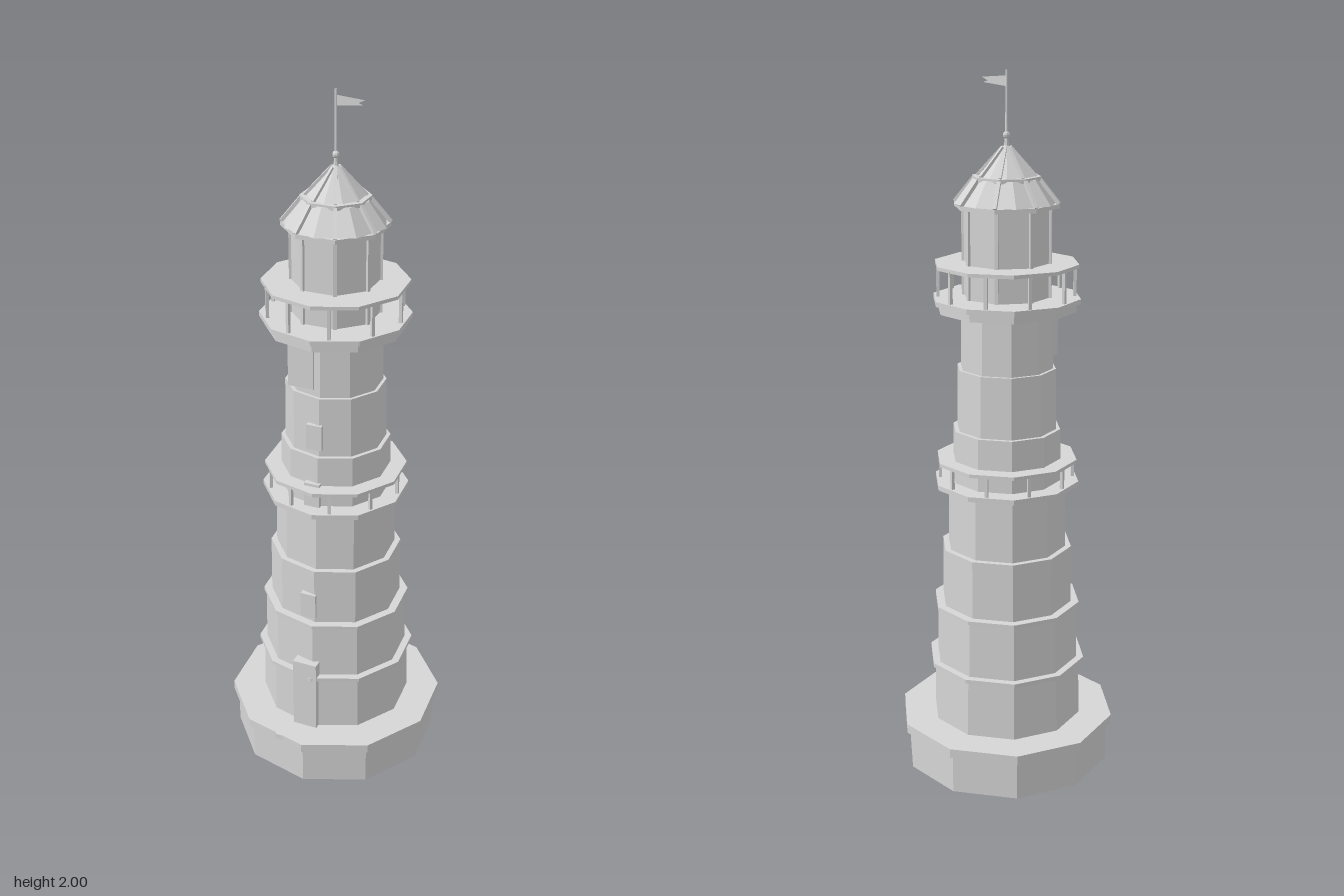
import * as THREE from 'three';

const DEG = Math.PI / 180;

export function createModel() {
  const model = new THREE.Group();
  const stone = new THREE.MeshStandardMaterial({ color: 0xd6d6d6, flatShading: true, side: THREE.DoubleSide });
  stone.name = 'pale stone';

  function add(name, geometry, parent = model) {
    const mesh = new THREE.Mesh(geometry, stone);
    mesh.name = name;
    parent.add(mesh);
    return mesh;
  }

  // Upright prism or frustum between two heights
  function prism(name, y0, y1, rBottom, rTop = rBottom, sides = 10, turn = 4.5, parent = model, open = false) {
    const g = new THREE.CylinderGeometry(rTop, rBottom, y1 - y0, sides, 1, open, turn * DEG);
    return add(name, g.translate(0, (y0 + y1) / 2, 0), parent);
  }

  // Box given by its limits
  function block(name, x0, x1, y0, y1, z0, z1) {
    const g = new THREE.BoxGeometry(x1 - x0, y1 - y0, z1 - z0);
    return add(name, g.translate((x0 + x1) / 2, (y0 + y1) / 2, (z0 + z1) / 2));
  }

  // Square bar between two points (radius, height), turned about the axis
  function rib(name, r0, y0, r1, y1, width, angle) {
    const g = new THREE.BoxGeometry(width, width, Math.hypot(r1 - r0, y1 - y0));
    g.rotateX(-Math.atan2(y1 - y0, r1 - r0));
    g.translate(0, (y0 + y1) / 2, (r0 + r1) / 2);
    g.rotateY(angle * DEG);
    return add(name, g);
  }

  // Foundation wall, open underneath, and its slab
  prism('foundation', 0, 0.115, 0.302, 0.302, 10, 4.5, model, true);
  prism('foundationSlab', 0.115, 0.142, 0.317);
  block('slabStep', -0.065, -0.04, 0.125, 0.142, 0.28, 0.3);

  // Stepped tower: bottom, top, lower radius, upper radius
  const tiers = [
    [0.142, 0.312, 0.22, 0.216],
    [0.322, 0.487, 0.21, 0.207],
    [0.495, 0.667, 0.191, 0.19],
    [0.667, 0.855, 0.173, 0.171],
    [0.855, 1.017, 0.157, 0.155],
    [1.017, 1.192, 0.143, 0.141],
    [1.192, 1.36, 0.132, 0.13],
  ];
  tiers.forEach(([y0, y1, r0, r1], i) => prism('towerTier' + (i + 1), y0, y1, r0, r1));
  prism('lowerBand', 0.31, 0.322, 0.231);
  prism('upperBand', 0.485, 0.496, 0.215);

  // Galleries: floor, ten posts and a covering rail plate
  function gallery(name, floorY, railY) {
    const group = new THREE.Group();
    group.name = name;
    model.add(group);
    prism('galleryFloor', floorY - 0.014, floorY, 0.209, 0.209, 10, 4.5, group);
    prism('galleryRail', railY - 0.01, railY, 0.203, 0.203, 10, 4.5, group);
    for (let i = 0; i < 10; i++) {
      const a = (18 + 36 * i) * DEG;
      const g = new THREE.BoxGeometry(0.009, railY - floorY, 0.009);
      g.rotateY(a).translate(0.189 * Math.sin(a), (floorY + railY) / 2, 0.189 * Math.cos(a));
      add('galleryPost', g, group);
    }
  }
  gallery('lowerGallery', 0.866, 0.93);
  gallery('upperGallery', 1.392, 1.487);
  prism('galleryBracket', 1.355, 1.38, 0.196);

  // Door, windows and wall panel on the front
  block('door', -0.038, 0.035, 0.142, 0.367, 0.18, 0.228);
  block('lowerWindow', -0.025, 0.021, 0.512, 0.59, 0.16, 0.197);
  block('middleWindow', -0.025, 0.021, 0.866, 0.938, 0.13, 0.165);
  block('upperWindow', -0.025, 0.021, 1.037, 1.112, 0.12, 0.148);
  block('wallPanel', -0.085, -0.01, 1.212, 1.355, 0.09, 0.131);

  // Lantern room with corner mullions
  prism('lanternRoom', 1.39, 1.645, 0.121, 0.121, 8, 22.5);
  for (let i = 0; i < 8; i++) {
    const a = (22.5 + 45 * i) * DEG;
    const g = new THREE.BoxGeometry(0.01, 0.25, 0.01);
    g.rotateY(a).translate(0.121 * Math.sin(a), 1.515, 0.121 * Math.cos(a));
    add('lanternMullion', g);
  }

  // Two-stage roof with eave plate and ribs
  prism('roofEave', 1.638, 1.65, 0.147, 0.147, 8, 22.5);
  prism('roofSkirt', 1.65, 1.716, 0.144, 0.094, 8, 0);
  prism('roofCap', 1.71, 1.722, 0.096, 0.096, 8, 22.5);
  prism('roofCone', 1.722, 1.805, 0.078, 0.004, 10, 0);
  for (let i = 0; i < 8; i++) {
    const a = 22.5 + 45 * i;
    rib('skirtRib', 0.145, 1.65, 0.092, 1.715, 0.01, a);
    rib('coneRib', 0.082, 1.722, 0.012, 1.798, 0.008, a);
  }

  // Finial, pole and swallow-tailed pennant
  add('finialBall', new THREE.SphereGeometry(0.01, 8, 6).translate(0, 1.83, 0));
  prism('finialNeck', 1.79, 1.822, 0.008, 0.005, 8, 0);
  prism('flagPole', 1.82, 2, 0.0035, 0.003, 6, 0);
  const pennant = new THREE.Shape([
    [0, 1.985], [0.08, 1.979], [0.062, 1.97], [0.076, 1.965], [0, 1.957],
  ].map(([x, y]) => new THREE.Vector2(x, y)));
  add('pennant', new THREE.ShapeGeometry(pennant));

  return model;
}
